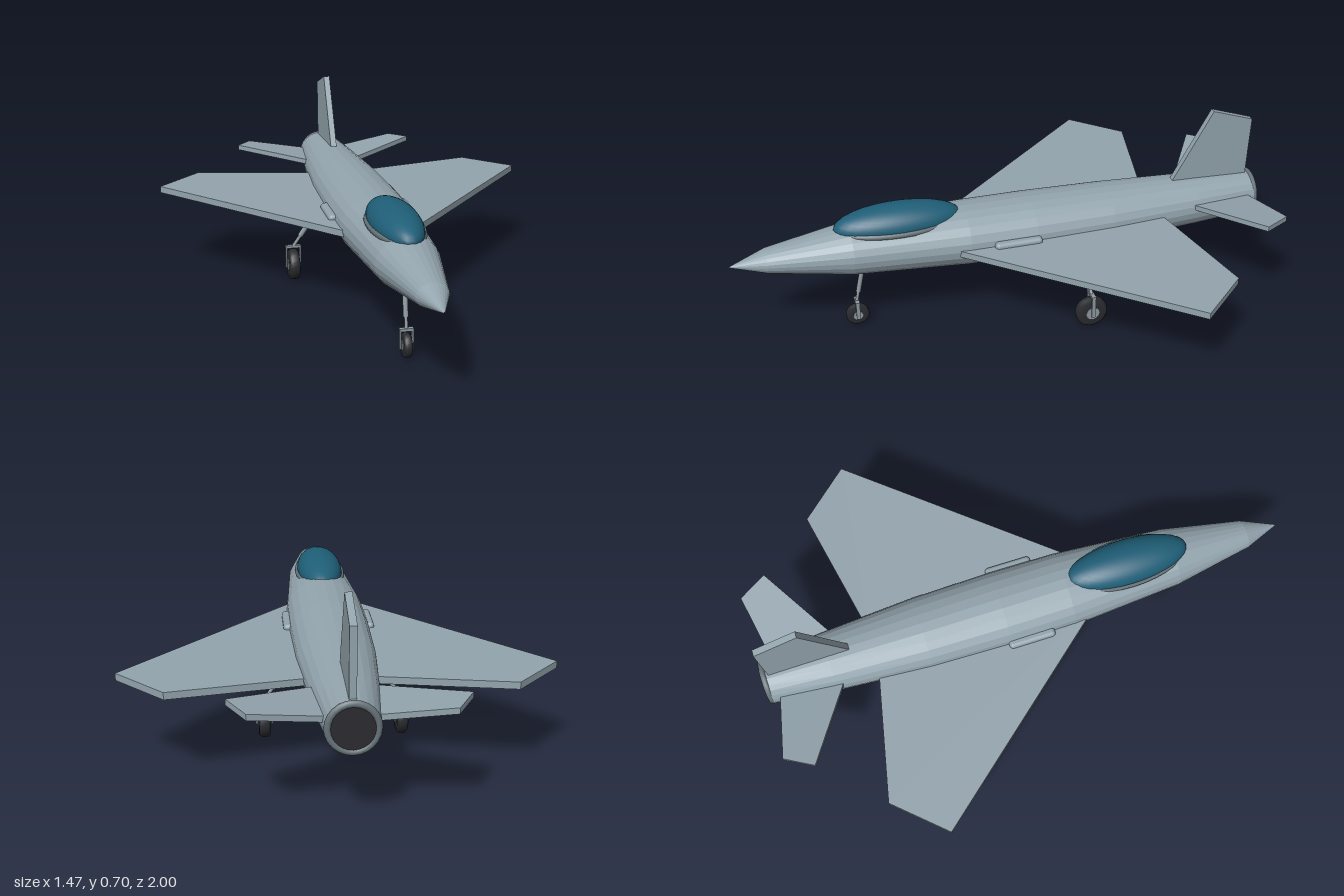
import * as THREE from 'three';
import { RoundedBoxGeometry } from 'three/addons/geometries/RoundedBoxGeometry.js';

const paint = (name, color) => Object.assign(new THREE.MeshStandardMaterial({ color }), { name });

export function createModel() {
  const model = new THREE.Group();
  model.name = 'jet';
  const hull = paint('hull grey', 0x93a4ad);
  const trim = paint('trim grey', 0x67747b);
  const glass = paint('canopy teal', 0x1f5f78);
  const rubber = paint('tyre black', 0x2b2c30);
  const metal = paint('gear metal', 0x8f9aa1);

  const add = (name, geometry, material, parent = model) => {
    const mesh = new THREE.Mesh(geometry, material);
    mesh.name = name;
    parent.add(mesh);
    return mesh;
  };

  // Faceted body lofted through elliptical stations [z, centre y, half width, half height]
  const loft = (stations, sides) => {
    const pos = [], index = [];
    for (const [z, y, rx, ry] of stations)
      for (let j = 0; j < sides; j++) {
        const a = (j / sides) * Math.PI * 2;
        pos.push(rx * Math.cos(a), y + ry * Math.sin(a), z);
      }
    for (let i = 0; i < stations.length - 1; i++)
      for (let j = 0; j < sides; j++) {
        const k = (j + 1) % sides;
        const a = i * sides + j, b = i * sides + k, c = b + sides, d = a + sides;
        index.push(a, b, c, a, c, d);
      }
    const g = new THREE.BufferGeometry();
    g.setAttribute('position', new THREE.Float32BufferAttribute(pos, 3));
    g.setIndex(index);
    const flat = g.toNonIndexed();
    flat.computeVertexNormals();
    return flat;
  };

  // Fuselage
  add('fuselage', loft([
    [-0.995, 0.332, 0.086, 0.084],
    [-0.75, 0.331, 0.112, 0.094],
    [-0.4, 0.331, 0.138, 0.105],
    [-0.1, 0.331, 0.145, 0.112],
    [0.15, 0.333, 0.143, 0.111],
    [0.57, 0.337, 0.112, 0.093],
    [0.87, 0.336, 0.055, 0.043],
    [1, 0.33, 0.002, 0.002],
  ], 24), hull);

  // Exhaust
  const lip = add('exhaustLip', new THREE.TorusGeometry(0.077, 0.012, 8, 24), trim);
  lip.position.set(0, 0.332, -0.988);
  const nozzle = add('exhaustNozzle', new THREE.CircleGeometry(0.076, 24), rubber);
  nozzle.rotation.y = Math.PI;
  nozzle.position.set(0, 0.332, -0.996);

  // Canopy and its frame
  const canopy = add('canopy', new THREE.SphereGeometry(1, 32, 20), glass);
  canopy.scale.set(0.087, 0.07, 0.235);
  canopy.position.set(0, 0.42, 0.39);
  const frame = add('canopyFrame', new THREE.TorusGeometry(1, 0.08, 8, 32).rotateX(Math.PI / 2), trim);
  frame.scale.set(0.09, 0.13, 0.212);
  frame.position.set(0, 0.412, 0.39);

  // Flat surface from [x, z] corners, rising by slope towards its tip
  const slab = (points, side, y, thickness, slope) => {
    const shape = new THREE.Shape(points.map(([x, z]) => new THREE.Vector2(x * side, z)));
    const g = new THREE.ExtrudeGeometry(shape, { depth: thickness, bevelEnabled: false });
    g.rotateX(Math.PI / 2).translate(0, y + thickness / 2, 0);
    const p = g.attributes.position;
    for (let i = 0; i < p.count; i++) p.setY(i, p.getY(i) + slope * Math.abs(p.getX(i)));
    g.computeVertexNormals();
    return g;
  };

  // Rod between two points
  const rod = (name, from, to, radius, parent) => {
    const a = new THREE.Vector3(...from), b = new THREE.Vector3(...to);
    const dir = b.clone().sub(a);
    const mesh = add(name, new THREE.CylinderGeometry(radius, radius, dir.length(), 12), metal, parent);
    mesh.position.copy(a).add(b).multiplyScalar(0.5);
    mesh.quaternion.setFromUnitVectors(new THREE.Vector3(0, 1, 0), dir.normalize());
  };

  // Wheel with hub, fork and leg
  const gear = (name, x, z, r, width, top, legRadius) => {
    const g = new THREE.Group();
    g.name = name;
    model.add(g);
    const w = width / 2, round = r * 0.15;
    const tyre = [[r * 0.4, -w], [r - round, -w], [r, -w + round], [r, w - round], [r - round, w], [r * 0.4, w]];
    const profile = tyre.map(([a, b]) => new THREE.Vector2(a, b));
    const wheel = add('tyre', new THREE.LatheGeometry(profile, 24).rotateZ(Math.PI / 2), rubber, g);
    wheel.position.set(x, r, z);
    const hub = add('hub', new THREE.CylinderGeometry(r * 0.42, r * 0.42, width + 0.004, 20).rotateZ(Math.PI / 2), metal, g);
    hub.position.set(x, r, z);
    const crown = r * 2 + 0.013, armX = w + 0.007;
    for (const s of [-1, 1]) {
      const arm = add('forkArm', new THREE.BoxGeometry(0.006, crown - r + 0.012, 0.014), metal, g);
      arm.position.set(x + s * armX, (crown + r - 0.012) / 2, z);
    }
    const bar = add('forkCrown', new THREE.BoxGeometry(armX * 2 + 0.006, 0.01, 0.016), metal, g);
    bar.position.set(x, crown, z);
    const foot = [x, crown, z];
    const mid = top.map((v, i) => v + (foot[i] - v) * 0.75);
    rod('leg', top, mid, legRadius, g);
    rod('legPiston', mid, foot, legRadius * 0.65, g);
  };

  for (const side of [1, -1]) {
    const label = side > 0 ? 'left' : 'right';
    // Wings and tailplanes
    add(label + 'Wing', slab([[0.06, 0.285], [0.735, -0.51], [0.57, -0.69], [0.06, -0.585]], side, 0.326, 0.025, 0.006), hull);
    add(label + 'Tailplane', slab([[0.03, -0.678], [0.375, -0.895], [0.315, -0.998], [0.03, -0.945]], side, 0.337, 0.02, 0.136), hull);
    // Side intake fairing
    const intake = add(label + 'Intake', new RoundedBoxGeometry(0.04, 0.07, 0.176, 3, 0.014), hull);
    intake.position.set(side * 0.145, 0.322, -0.022);
    // Main landing gear
    gear(label + 'MainGear', side * 0.244, -0.275, 0.06, 0.04, [side * 0.13, 0.31, -0.252], 0.01);
  }
  gear('noseGear', 0, 0.56, 0.043, 0.028, [0, 0.27, 0.525], 0.009);

  // Tail fin
  const finShape = new THREE.Shape([[-0.655, 0.4], [-0.815, 0.698], [-0.975, 0.645], [-0.97, 0.39]]
    .map(([z, y]) => new THREE.Vector2(z, y)));
  const fin = new THREE.ExtrudeGeometry(finShape, { depth: 0.024, bevelEnabled: false });
  add('tailFin', fin.rotateY(-Math.PI / 2).translate(0.012, 0, 0), hull);

  return model;
}
